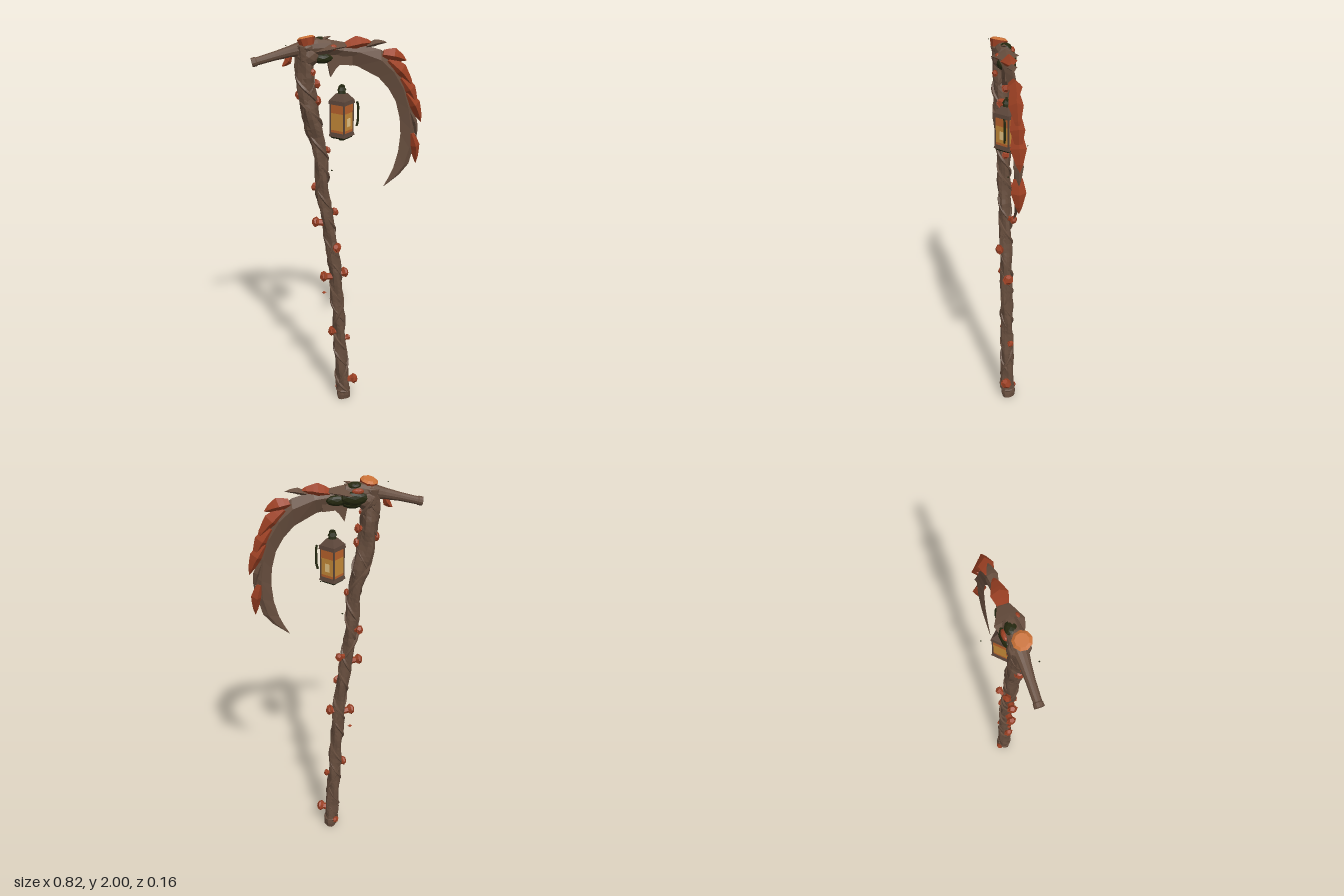
import * as THREE from 'three';

const ZC = 0.013; // depth of the central plane
const mat = (name, color) => {
  const m = new THREE.MeshStandardMaterial({ color, flatShading: true });
  m.name = name;
  return m;
};

// Skin a list of equal-length rings, closed at both ends
function skin(rings) {
  const n = rings[0].length, pos = rings.flat(2), idx = [];
  for (let s = 0; s < rings.length - 1; s++)
    for (let i = 0; i < n; i++) {
      const a = s * n + i, b = s * n + (i + 1) % n;
      idx.push(a, b, a + n, b, b + n, a + n);
    }
  const e = (rings.length - 1) * n;
  for (let i = 1; i < n - 1; i++) idx.push(0, i + 1, i, e, e + i, e + i + 1);
  const g = new THREE.BufferGeometry();
  g.setAttribute('position', new THREE.Float32BufferAttribute(pos, 3));
  g.setIndex(idx);
  g.computeVertexNormals();
  return g;
}

// Ring around point (x, y) facing along (dx, dy); radius may depend on the angle
function ring(x, y, dx, dy, sides, rad, zScale = 1) {
  const l = Math.hypot(dx, dy), nx = -dy / l, ny = dx / l, out = [];
  for (let i = 0; i < sides; i++) {
    const a = i / sides * Math.PI * 2, r = rad(a);
    out.push([x + nx * r * Math.cos(a), y + ny * r * Math.cos(a), ZC + r * Math.sin(a) * zScale]);
  }
  return out;
}

export function createModel() {
  const model = new THREE.Group();
  model.name = 'lanternScythe';
  let seed = 7;
  const rnd = () => (seed = (seed * 16807) % 2147483647) / 2147483647;

  const wood = mat('brownWood', 0x664d3d);
  const rust = mat('rustRed', 0x9c4023);
  const orange = mat('orangeCap', 0xc87036);
  const moss = mat('darkMoss', 0x25280f);
  const iron = mat('brownIron', 0x5c463a);
  const glass = mat('goldGlass', 0xc68a38);
  const amber = mat('amberGlass', 0xb9622c);
  const glow = mat('paleGlow', 0xecca88);

  const add = (name, geo, m, parent = model) => {
    const mesh = new THREE.Mesh(geo, m);
    mesh.name = name;
    parent.add(mesh);
    return mesh;
  };

  // Leaning, twisted shaft
  const path = new THREE.CatmullRomCurve3([
    [0.027, 0.0], [0.012, 0.2], [0.003, 0.4], [-0.01, 0.6], [-0.022, 0.8], [-0.05, 1.0],
    [-0.08, 1.2], [-0.1, 1.45], [-0.145, 1.65], [-0.163, 1.8], [-0.165, 1.95],
  ].map(([x, y]) => new THREE.Vector3(x, y, 0)));
  const shaftRadius = t => 0.036 - 0.006 * Math.sin(Math.PI * Math.min(1, t * 1.15)) + (t > 0.78 ? 0.006 : 0);
  const rings = [];
  for (let s = 0; s <= 80; s++) {
    const t = s / 80, p = path.getPointAt(t), d = path.getTangentAt(t);
    const r = shaftRadius(t) * (0.97 + rnd() * 0.08);
    rings.push(ring(p.x, p.y, d.x, d.y, 12,
      a => r * (1 + 0.12 * Math.sin(3 * a + t * 42) + 0.06 * Math.sin(2 * a - t * 70))));
  }
  add('shaft', skin(rings), wood);

  // Vines winding up the shaft
  for (const [phase, turns] of [[0, 7], [2.2, 7], [4, -5]]) {
    const pts = [];
    for (let i = 0; i <= 90; i++) {
      const t = 0.03 + 0.95 * i / 90, p = path.getPointAt(t), a = phase + turns * t * Math.PI * 2;
      const r = shaftRadius(t) * (0.92 + 0.12 * Math.sin(t * 37 + phase));
      pts.push(new THREE.Vector3(p.x + r * Math.cos(a), p.y, ZC + r * Math.sin(a)));
    }
    add('vine', new THREE.TubeGeometry(new THREE.CatmullRomCurve3(pts), 180, 0.008, 5), wood);
  }
  add('footRing', new THREE.TorusGeometry(0.034, 0.007, 5, 12).rotateX(Math.PI / 2), wood)
    .position.set(0.022, 0.05, ZC);

  // Cross handle with a flared end
  add('crossHandle', skin([
    [-0.408, 1.878, 0.022], [-0.39, 1.882, 0.022], [-0.385, 1.883, 0.019], [-0.3, 1.905, 0.021],
    [-0.23, 1.922, 0.027], [-0.17, 1.935, 0.036], [-0.1, 1.94, 0.042], [-0.04, 1.94, 0.034],
  ].map(([x, y, r]) => ring(x, y, 1, 0.2, 12, () => r))), wood);

  // Blade: [outer x, outer y, inner x, inner y, half thickness]
  const blade = [
    [-0.11, 1.965, -0.11, 1.89, 0.04], [-0.04, 1.96, -0.05, 1.88, 0.035], [0.02, 1.955, 0.01, 1.86, 0.028],
    [0.1, 1.945, 0.085, 1.843, 0.022], [0.2, 1.915, 0.19, 1.785, 0.021], [0.27, 1.855, 0.24, 1.73, 0.02],
    [0.325, 1.765, 0.278, 1.665, 0.02], [0.36, 1.655, 0.3, 1.58, 0.019], [0.378, 1.54, 0.306, 1.5, 0.017],
    [0.378, 1.44, 0.297, 1.41, 0.014], [0.352, 1.345, 0.275, 1.33, 0.01], [0.305, 1.29, 0.252, 1.28, 0.006],
    [0.228, 1.233, 0.226, 1.235, 0.001],
  ];
  add('blade', skin(blade.map(([ox, oy, ix, iy, w]) => {
    const mx = ox * 0.65 + ix * 0.35, my = oy * 0.65 + iy * 0.35;
    return [[ox, oy, ZC], [mx, my, ZC + w], [ix, iy, ZC], [mx, my, ZC - w]];
  })), wood);

  // Hooked barb under the blade root
  const barb = new THREE.Shape([[-0.065, 1.92], [-0.055, 1.86], [-0.043, 1.8], [-0.018, 1.838], [0.0, 1.855],
    [0.06, 1.85], [0.06, 1.91]].map(([x, y]) => new THREE.Vector2(x, y)));
  add('barb', new THREE.ExtrudeGeometry(barb, { depth: 0.03, bevelEnabled: false }), wood)
    .position.z = ZC - 0.015;

  // Pointed scales hugging the blade's spine, each lying between two points
  const scale = (name, x0, y0, x1, y1, w, h, m) => {
    const dx = x1 - x0, dy = y1 - y0, l = Math.hypot(dx, dy);
    add(name, skin([[0, 0.6], [0.18, 0.8], [0.4, 1], [0.55, 0.78], [0.8, 0.45], [1, 0.02]].map(([t, k]) => {
      const off = 0.008 * Math.sin(Math.PI * t) - 0.014 * (1 - t);
      return ring(x0 + dx * t - dy / l * off, y0 + dy * t + dx / l * off, dx, dy, 4, () => h * k, w / h);
    })), m);
  };
  scale('rootScale', -0.12, 1.935, 0.06, 1.94, 0.066, 0.034, wood);
  scale('rootThorn', -0.13, 1.95, -0.04, 1.985, 0.024, 0.014, wood);
  scale('bladeScale', 0.025, 1.95, 0.16, 1.95, 0.039, 0.034, rust);
  scale('bladeThorn', 0.13, 1.95, 0.228, 1.948, 0.024, 0.016, wood);
  scale('bladeScale', 0.212, 1.908, 0.325, 1.86, 0.034, 0.036, rust);
  scale('bladeScale', 0.245, 1.875, 0.362, 1.73, 0.034, 0.038, rust);
  scale('bladeScale', 0.31, 1.785, 0.385, 1.63, 0.034, 0.036, rust);
  scale('bladeScale', 0.34, 1.71, 0.408, 1.555, 0.037, 0.034, rust);
  scale('bladeThorn', 0.36, 1.62, 0.388, 1.48, 0.024, 0.018, wood);
  scale('bladeScale', 0.372, 1.505, 0.388, 1.345, 0.035, 0.028, rust);
  scale('handleLeaf', -0.22, 1.9, -0.27, 1.855, 0.022, 0.02, rust);

  // Tilted cap above the joint of shaft and handle
  const blob = (name, x, y, z, sx, sy, sz, m) => {
    const mesh = add(name, new THREE.IcosahedronGeometry(1, 1), m);
    mesh.position.set(x, y, z);
    mesh.scale.set(sx, sy, sz);
  };
  blob('topCapBase', -0.16, 1.942, 0.018, 0.046, 0.026, 0.046, wood);
  const cap = new THREE.Group();
  cap.name = 'topCap';
  cap.position.set(-0.156, 1.966, 0.029);
  cap.rotation.set(-0.2, 0, 0.18);
  model.add(cap);
  add('topCapRim', new THREE.CylinderGeometry(0.043, 0.034, 0.034, 9), rust, cap);
  add('topCapFace', new THREE.CylinderGeometry(0.03, 0.043, 0.009, 9), orange, cap).position.y = 0.0215;

  // Moss tucked behind, between and beneath the joint
  blob('moss', -0.09, 1.966, 0.004, 0.036, 0.018, 0.028, moss);
  blob('moss', -0.08, 1.888, 0.008, 0.055, 0.028, 0.04, moss);
  blob('moss', -0.085, 1.915, -0.022, 0.065, 0.034, 0.024, moss);
  blob('moss', -0.005, 1.905, -0.012, 0.05, 0.026, 0.02, moss);
  blob('mossBud', -0.1, 1.948, -0.028, 0.028, 0.015, 0.013, rust);
  blob('mossBud', -0.035, 1.94, 0.05, 0.018, 0.014, 0.012, rust);
  blob('headKnot', -0.15, 1.9, ZC, 0.055, 0.055, 0.05, wood);

  // Small fungi growing from the shaft: position and size
  for (const [x, y, z, r] of [
    [0.08, 0.12, 0.03, 0.028], [0.0, 0.05, -0.022, 0.018], [0.05, 0.37, 0.0, 0.017], [-0.045, 0.43, 0.02, 0.025],
    [0.03, 0.77, 0.01, 0.027], [-0.085, 0.76, 0.02, 0.027], [-0.017, 0.93, 0.05, 0.025], [-0.122, 1.065, 0.01, 0.026],
    [-0.014, 1.1, -0.025, 0.021], [-0.12, 1.245, -0.02, 0.022], [-0.055, 1.44, 0.01, 0.018],
    [-0.106, 1.69, 0.02, 0.025], [-0.104, 1.765, 0.0, 0.022], [-0.195, 1.72, 0.01, 0.024], [-0.13, 1.83, 0.05, 0.016],
  ]) {
    const p = path.getPointAt(y / 1.95).setZ(ZC);
    const out = new THREE.Vector3(x, y, z).sub(p).setY(0.01);
    const len = out.length();
    const fungus = new THREE.Group();
    fungus.name = 'fungus';
    fungus.position.set(x, y, z);
    fungus.quaternion.setFromUnitVectors(new THREE.Vector3(0, 1, 0), out.normalize());
    add('fungusStem', new THREE.CylinderGeometry(r * 0.6, r * 0.7, len, 6), rust, fungus).position.y = -len / 2;
    add('fungusCap', new THREE.DodecahedronGeometry(r), rust, fungus).scale.set(1, 0.7, 0.9);
    add('fungusLip', new THREE.CylinderGeometry(r * 1.1, r * 0.75, r * 0.55, 7), rust, fungus).position.y = -r * 0.3;
    model.add(fungus);
  }

  // Hanging four-sided lantern, one corner to the front
  const lantern = new THREE.Group();
  lantern.name = 'lantern';
  lantern.position.set(0.012, 1.5, ZC);
  model.add(lantern);
  const tier = (name, rTop, rBottom, y0, y1, m, sides = 4) =>
    add(name, new THREE.CylinderGeometry(rTop, rBottom, y1 - y0, sides), m, lantern).position.y = (y0 + y1) / 2;
  tier('lanternFoot', 0.02, 0.014, -0.012, 0.004, moss, 8);
  tier('lanternUnderside', 0.058, 0.05, 0.0, 0.01, moss);
  tier('lanternBase', 0.058, 0.064, 0.01, 0.03, iron);
  tier('lowerGlass', 0.056, 0.056, 0.03, 0.042, amber);
  tier('middleGlass', 0.056, 0.056, 0.042, 0.125, glass);
  tier('upperGlass', 0.056, 0.056, 0.125, 0.168, amber);
  tier('lanternRim', 0.062, 0.065, 0.168, 0.187, iron);
  tier('lanternRoof', 0.028, 0.06, 0.187, 0.217, iron);
  tier('lanternNeck', 0.016, 0.02, 0.217, 0.232, moss, 8);
  tier('lanternKnob', 0.013, 0.023, 0.232, 0.248, moss, 8);
  add('lanternLoop', new THREE.TorusGeometry(0.012, 0.005, 6, 12), moss, lantern).position.y = 0.244;
  for (let i = 0; i < 4; i++) {
    const a = i * Math.PI / 2, f = a + Math.PI / 4;
    const post = add('lanternPost', new THREE.BoxGeometry(0.006, 0.145, 0.006), iron, lantern);
    post.position.set(Math.sin(a) * 0.055, 0.098, Math.cos(a) * 0.055);
    post.rotation.y = f;
    if (i > 1) continue; // the flame shows through the two outer panes only
    const flame = add('flameGlow', new THREE.BoxGeometry(0.026, 0.04, 0.004), glow, lantern);
    flame.position.set(Math.sin(f) * 0.039, 0.08, Math.cos(f) * 0.039);
    flame.rotation.y = f;
  }

  // Loose wire bail beside the lantern
  add('wireBail', new THREE.TubeGeometry(new THREE.CatmullRomCurve3([
    [0.08, 1.56], [0.086, 1.585], [0.087, 1.63], [0.086, 1.665], [0.081, 1.68],
  ].map(([x, y]) => new THREE.Vector3(x, y, 0.034))), 16, 0.006, 5), moss);

  // Drifting chips
  for (const [x, y, z, r] of [
    [0.08, 1.54, -0.076, 0.004], [-0.255, 1.96, 0.064, 0.004], [-0.035, 1.33, 0.0, 0.006], [-0.08, 0.66, 0.01, 0.012],
  ]) {
    const chip = add('chip', new THREE.OctahedronGeometry(r), y < 1 ? rust : moss);
    chip.position.set(x, y, z);
    chip.scale.y = 0.7;
  }
  return model;
}
